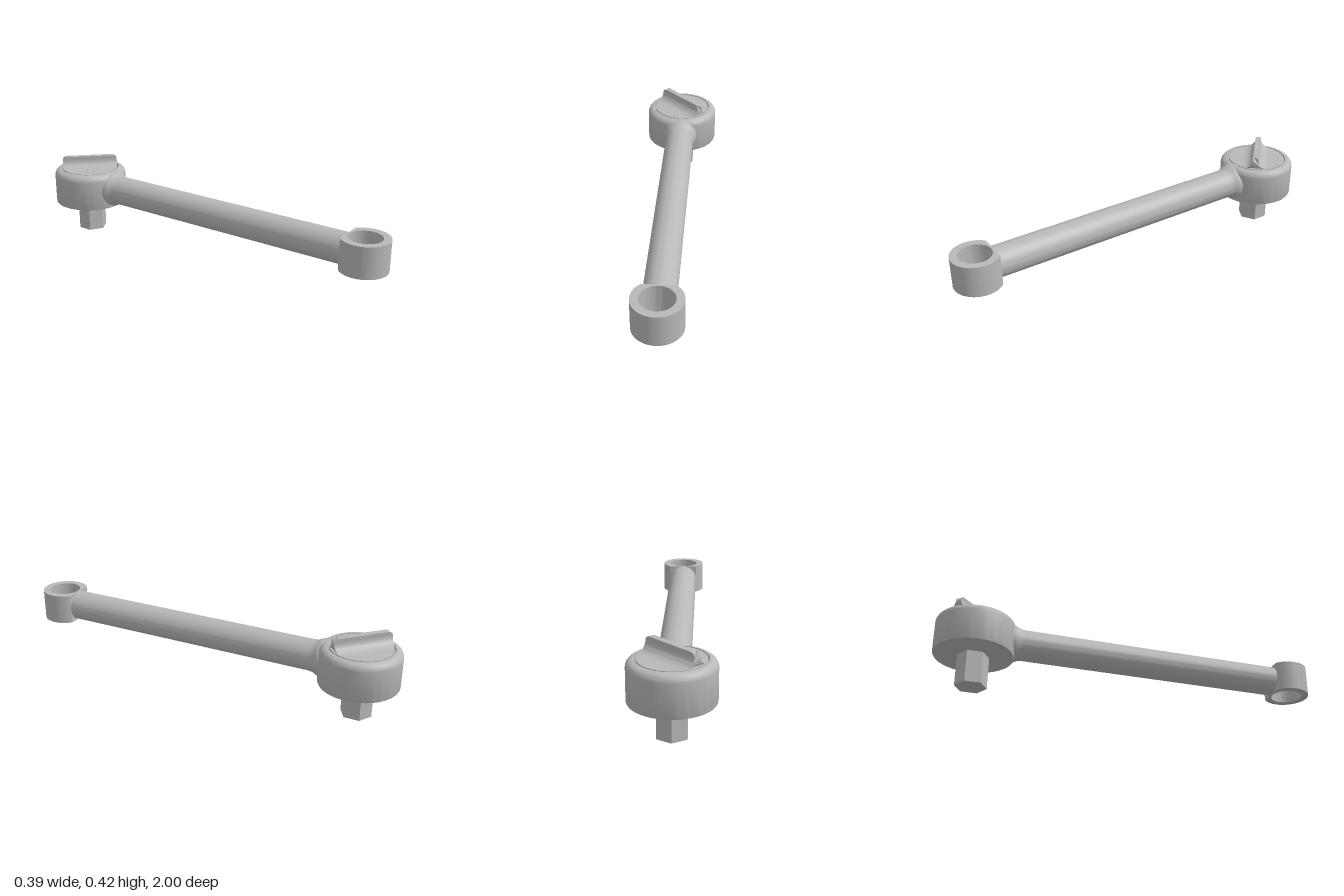
import * as THREE from 'three';
import { toCreasedNormals } from 'three/addons/utils/BufferGeometryUtils.js';

const HEAD_Z = -0.805;
const RING_Z = 0.883;

export function createModel() {
  const group = new THREE.Group();
  const steel = new THREE.MeshStandardMaterial({ color: 0xb8b8b8 });

  const add = (name, geometry, x = 0, y = 0, z = 0) => {
    const mesh = new THREE.Mesh(toCreasedNormals(geometry, 0.55), steel);
    mesh.name = name;
    mesh.position.set(x, y, z);
    group.add(mesh);
    return mesh;
  };
  const lathe = (points, segments = 64) =>
    new THREE.LatheGeometry(points.map(([r, y]) => new THREE.Vector2(r, y)), segments);

  // Ratchet head: rounded shoulder, small bottom edge, groove around the dial
  const headProfile = [[0, 0.16], [0.187, 0.16], [0.193, 0.163], [0.195, 0.168]];
  for (let i = 0; i <= 8; i++) {
    const a = (i / 8) * Math.PI / 2;
    headProfile.push([0.16 + 0.035 * Math.cos(a), 0.317 + 0.035 * Math.sin(a)]);
  }
  headProfile.push([0.157, 0.352], [0.157, 0.33], [0, 0.33]);
  add('head', lathe(headProfile), 0, 0, HEAD_Z);

  // Direction dial
  add('dial', lathe([[0, 0.325], [0.15, 0.325], [0.15, 0.352], [0, 0.352]]), 0, 0, HEAD_Z);

  // Dial grip: thin rib with concave flanks, ends trimmed to the dial's circle
  const top = 0.065, half = 0.015, flare = 0.052;
  const side = [];
  for (let i = 0; i <= 8; i++) {
    const a = (i / 8) * Math.PI / 2;
    side.push([half + flare * (1 - Math.sin(a)), 0.045 * (1 - Math.cos(a))]);
  }
  for (const y of [0.05, 0.055, 0.06, 0.063, top]) side.push([half, y]);
  const section = [...side, ...side.slice().reverse().map(([x, y]) => [-x, y])];
  const grip = new THREE.ExtrudeGeometry(
    new THREE.Shape(section.map(([x, y]) => new THREE.Vector2(x, y))),
    { depth: 1, bevelEnabled: false });
  const p = grip.attributes.position;
  const round = 0.022;
  for (let i = 0; i < p.count; i++) {
    const rise = Math.max(0, p.getY(i) - top + round);
    const cut = round - Math.sqrt(Math.max(0, round * round - rise * rise));
    const reach = Math.sqrt(0.15 ** 2 - p.getX(i) ** 2) - cut;
    p.setZ(i, p.getZ(i) > 0.5 ? reach : -reach);
  }
  grip.rotateY(Math.PI / 4);
  add('dialGrip', grip, 0, 0.352, HEAD_Z);

  // Hexagonal drive below the head
  const drive = new THREE.CylinderGeometry(0.077, 0.077, 0.17, 6);
  add('hexDrive', drive, 0, 0.085, HEAD_Z);

  // Round handle, flaring into the head
  const handle = lathe([[0, -0.66], [0.093, -0.66], [0.093, -0.622], [0.091, -0.61],
    [0.085, -0.6], [0.08, -0.587], [0.077, -0.565], [0.077, 0.798], [0, 0.798]], 48);
  handle.rotateX(Math.PI / 2);
  add('handle', handle, 0, 0.257, 0);

  // End ring with a tangent wedge running into the handle
  const outer = 0.117, apex = -0.155;
  const spread = Math.acos(outer / -apex);
  const outline = new THREE.Shape();
  outline.moveTo(0, apex);
  outline.absarc(0, 0, outer, -Math.PI / 2 + spread, 1.5 * Math.PI - spread, false);
  outline.closePath();
  const hole = new THREE.Path();
  hole.absarc(0, 0, 0.08, 0, Math.PI * 2, true);
  outline.holes.push(hole);
  const ring = new THREE.ExtrudeGeometry(outline,
    { depth: 0.156, bevelEnabled: false, curveSegments: 56 });
  ring.rotateX(Math.PI / 2);
  add('endRing', ring, 0, 0.335, RING_Z);

  return group;
}
